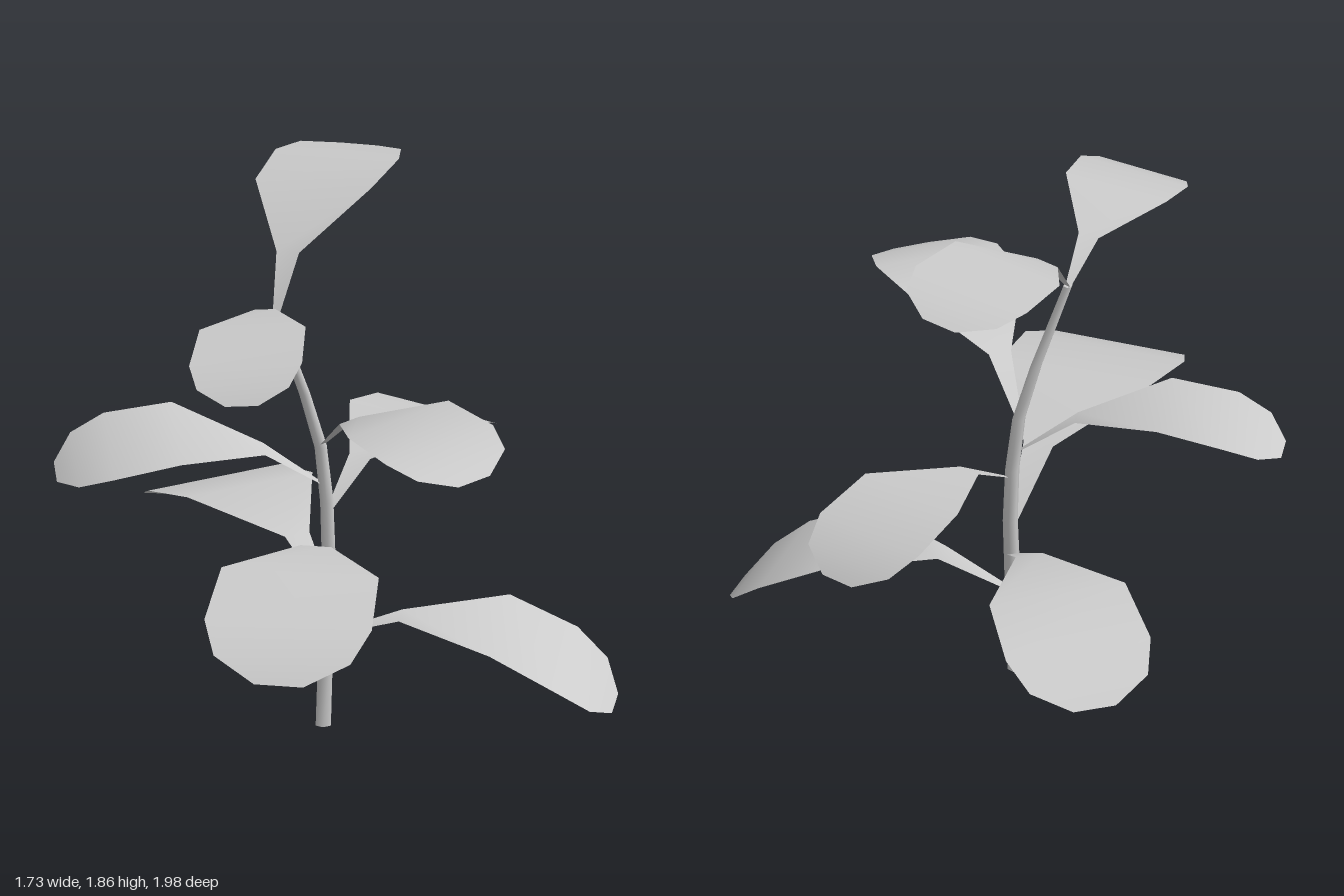
import * as THREE from 'three';

const stemMaterial = new THREE.MeshStandardMaterial({ color: 0xcccccc });
const leafMaterial = new THREE.MeshStandardMaterial({ color: 0xcccccc, side: THREE.DoubleSide });
const deg = THREE.MathUtils.degToRad;

// Stem centre line and thickness: [x, y, radius]
const STEM = [
  [-0.01, 0, 0.029], [0.0, 0.3, 0.028], [0.01, 0.6, 0.026], [0.003, 0.8, 0.025],
  [-0.02, 1.0, 0.023], [-0.08, 1.2, 0.02], [-0.19, 1.5, 0.016],
];

// Leaf sections from stalk to tip: [segment length, downward bend in degrees, half width]
const LEAF = [
  [0, 0, 0.012], [0.255, 0, 0.045], [0.33, 22, 0.23],
  [0.25, 46, 0.245], [0.135, 58, 0.2], [0.085, 70, 0.072],
];

// Leaves up the stem: [base x, base y, yaw, rise, roll in degrees, scale]
const LEAVES = [
  [0.01, 0.32, 52, 19, 5, 1.01],
  [0.01, 0.46, 180.3, 32, 0, 1.025],
  [0.0, 0.59, -35.5, 30.5, -1, 1.15],
  [0.015, 0.77, 121, 32, 3, 0.89],
  [-0.02, 0.87, -107.5, 35, -10, 0.915],
  [-0.02, 1.0, 5, 41, 6, 0.91],
  [-0.19, 1.495, -39.5, 29.5, 6, 0.78],
  [-0.19, 1.495, 135.5, 51.5, -6, 0.9],
];

// Bent, tapering six-sided stem: rings of a cylinder moved onto the centre line
function createStem() {
  const rings = STEM.length - 1;
  const geometry = new THREE.CylinderGeometry(1, 1, rings, 6, rings, false, Math.PI / 2);
  const position = geometry.attributes.position;
  for (let i = 0; i < position.count; i++) {
    const [x, y, r] = STEM[Math.round(position.getY(i) + rings / 2)];
    position.setXYZ(i, x + position.getX(i) * r, y, position.getZ(i) * r);
  }
  geometry.computeVertexNormals();
  const stem = new THREE.Mesh(geometry, stemMaterial);
  stem.name = 'stem';
  return stem;
}

// Paddle-shaped blade lying along +z and drooping towards the tip
function createLeafGeometry() {
  const points = [];
  const index = [];
  let y = 0;
  let z = 0;
  LEAF.forEach(([length, bend, half], i) => {
    y -= length * Math.sin(deg(bend));
    z += length * Math.cos(deg(bend));
    points.push(-half, y, z, half, y, z);
    if (i > 0) {
      const a = 2 * (i - 1);
      index.push(a, a + 2, a + 1, a + 1, a + 2, a + 3);
    }
  });
  const geometry = new THREE.BufferGeometry();
  geometry.setAttribute('position', new THREE.Float32BufferAttribute(points, 3));
  geometry.setIndex(index);
  geometry.computeVertexNormals();
  return geometry;
}

export function createModel() {
  const plant = new THREE.Group();
  plant.name = 'plant';
  plant.add(createStem());

  const leafGeometry = createLeafGeometry();
  LEAVES.forEach(([x, y, yaw, rise, roll, scale], i) => {
    const leaf = new THREE.Mesh(leafGeometry, leafMaterial);
    leaf.name = `leaf${i + 1}`;
    leaf.position.set(x, y, 0);
    leaf.rotation.set(deg(-rise), deg(yaw), deg(roll), 'YXZ');
    leaf.scale.setScalar(scale);
    plant.add(leaf);
  });
  return plant;
}
